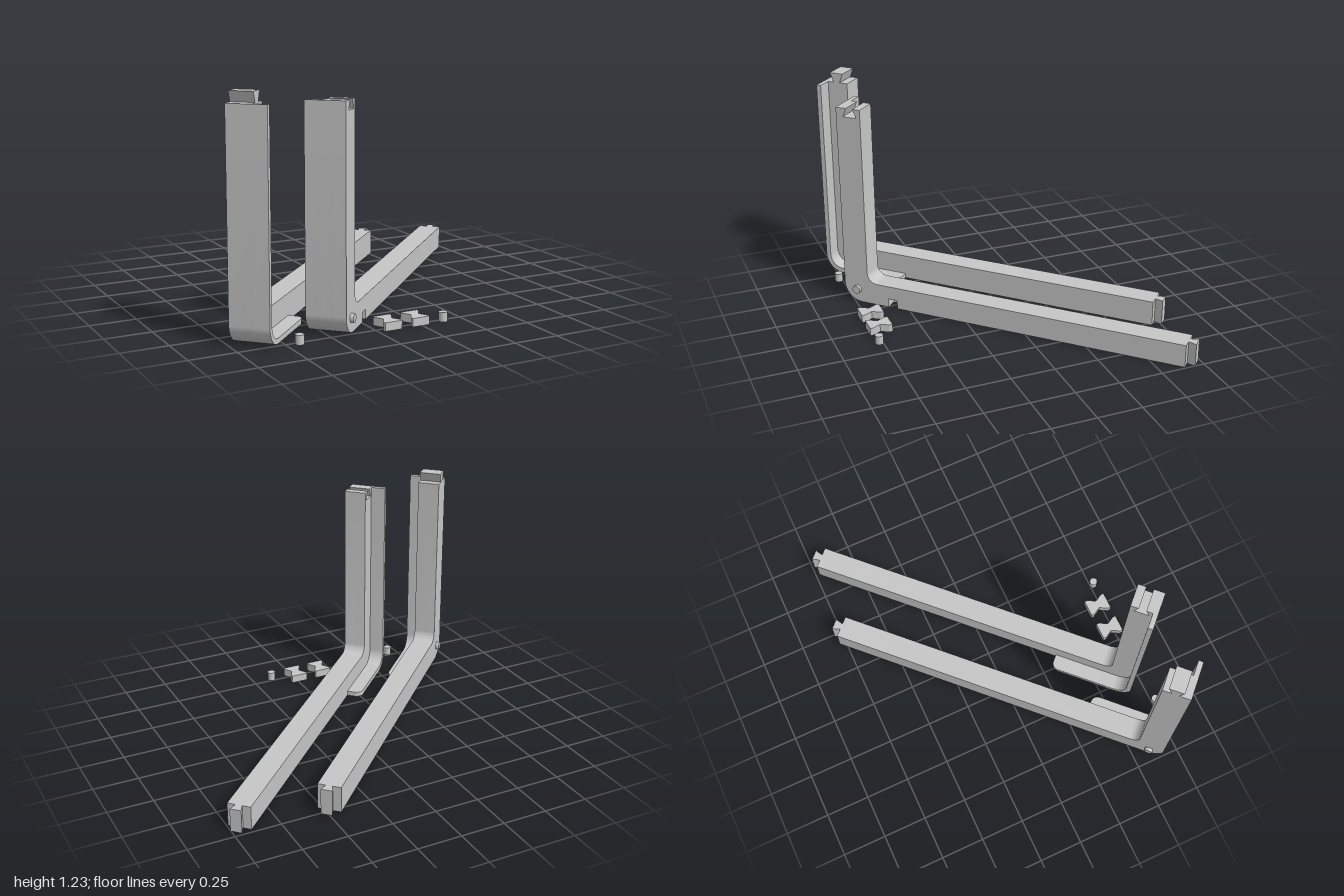
import * as THREE from 'three';
import { toCreasedNormals } from 'three/addons/utils/BufferGeometryUtils.js';

const grey = new THREE.MeshStandardMaterial({ color: 0xc6c6c6 });
grey.name = 'light grey plastic';

const BEND = 0.11; // outer bend radius

function add(group, name, geometry) {
  const mesh = new THREE.Mesh(geometry, grey);
  mesh.name = name;
  group.add(mesh);
  return mesh;
}

// Prism with its profile in x,y, running from z0 to z1
function prism(shape, z0, z1) {
  const g = new THREE.ExtrudeGeometry(shape, { depth: z1 - z0, bevelEnabled: false, curveSegments: 10 });
  g.translate(0, 0, z0);
  return toCreasedNormals(g, 0.5);
}

// Upright prism with its outline in x,z
function slab(points, y0, y1) {
  const shape = new THREE.Shape(points.map(([x, z]) => new THREE.Vector2(x, -z)));
  const g = new THREE.ExtrudeGeometry(shape, { depth: y1 - y0, bevelEnabled: false });
  g.rotateX(-Math.PI / 2);
  g.translate(0, y0, 0);
  return g;
}

// L-shaped profile; joint > 0 makes a tail on the column top, < 0 a socket
function lProfile({ s0, s1, thick, height, top, fillet, joint = 0, slot = 0 }) {
  const p = new THREE.Shape();
  p.moveTo(s0 + BEND, 0);
  if (slot) {
    for (const [x, y] of [[-0.028, 0], [-0.028, 0.052], [0.028, 0.052], [0.028, 0]]) p.lineTo(slot + x, y);
  }
  p.lineTo(s1, 0);
  p.lineTo(s1, height);
  p.lineTo(s0 + thick + fillet, height);
  p.absarc(s0 + thick + fillet, height + fillet, fillet, -Math.PI / 2, -Math.PI, true);
  p.lineTo(s0 + thick, top);
  if (joint) {
    const c = s0 + 0.083;
    p.lineTo(c + 0.02, top);
    p.lineTo(c + 0.041, top + joint);
    p.lineTo(c - 0.041, top + joint);
    p.lineTo(c - 0.02, top);
  }
  p.lineTo(s0, top);
  p.lineTo(s0, BEND);
  p.absarc(s0 + BEND, BEND, BEND, Math.PI, Math.PI * 1.5, false);
  return p;
}

// One bracket, running along local x; side is the z direction of its flange
function bracket({ name, s0, s1, q0, q1, side, thick, height, top, joint, slot }) {
  const group = new THREE.Group();
  group.name = name;
  const body = { s0, s1, thick, height, top, fillet: 0.06, joint };

  // Column and bar, with an underside key slot where wanted
  if (slot) {
    const cut = q1 - 0.065;
    add(group, 'bracketBody', prism(lProfile(body), q0, cut));
    add(group, 'bracketBodySlotted', prism(lProfile({ ...body, slot }), cut, q1));
  } else {
    add(group, 'bracketBody', prism(lProfile(body), q0, q1));
  }

  // Thin flange up the column and along the foot
  const inner = side > 0 ? q1 : q0;
  const outer = inner + side * 0.085;
  const f = 0.028, end = s0 + 0.488, r = 0.04;
  const strip = lProfile({ s0, s1: end - r, thick: f, height: f, top, fillet: BEND - f });
  add(group, 'flange', prism(strip, Math.min(inner, outer), Math.max(inner, outer)));

  // Flange end with a rounded corner
  const tip = [[end - r, inner], [end, inner]];
  for (let i = 0; i <= 6; i++) {
    const a = (i / 6) * Math.PI / 2;
    tip.push([end - r + r * Math.cos(a), outer - side * r * (1 - Math.sin(a))]);
  }
  add(group, 'flangeTip', toCreasedNormals(slab(tip, 0, f), 0.5));

  // Dovetail on the bar end
  const m = (q0 + q1) / 2;
  add(group, 'barTail', slab([[s1, m - 0.018], [s1 + 0.046, m - 0.031],
    [s1 + 0.046, m + 0.031], [s1, m + 0.018]], 0, height));

  // Locating peg on the plain side of the corner
  const peg = add(group, 'cornerPeg', new THREE.CylinderGeometry(0.024, 0.024, 0.04, 24));
  peg.rotation.x = Math.PI / 2;
  peg.position.set(s0 + 0.082, 0.08, side > 0 ? q0 : q1);

  group.rotation.y = Math.PI / 4;
  return group;
}

export function createModel() {
  const model = new THREE.Group();
  model.name = 'bracketKit';

  model.add(bracket({
    name: 'tailBracket', s0: -1.163, s1: 0.863, q0: -0.251, q1: -0.1235, side: 1,
    thick: 0.152, height: 0.145, top: 1.178, joint: 0.055,
  }));
  model.add(bracket({
    name: 'socketBracket', s0: -0.873, s1: 1.153, q0: 0.1235, q1: 0.251, side: -1,
    thick: 0.148, height: 0.13, top: 1.173, joint: -0.05, slot: -0.566,
  }));

  // Loose bow-tie keys
  const half = [[0.049, -0.064], [0.049, -0.045], [0.023, 0], [0.049, 0.045], [0.049, 0.064]];
  const bow = [...half, ...half.map(([x, z]) => [-x, -z])];
  for (const x of [-0.168, -0.007]) {
    add(model, 'bowTieKey', slab(bow, 0, 0.045)).position.set(x, 0, 0.727);
  }

  // Loose pins
  for (const x of [-0.682, 0.136]) {
    add(model, 'loosePin', new THREE.CylinderGeometry(0.023, 0.023, 0.05, 24)).position.set(x, 0.025, 0.77);
  }
  return model;
}
